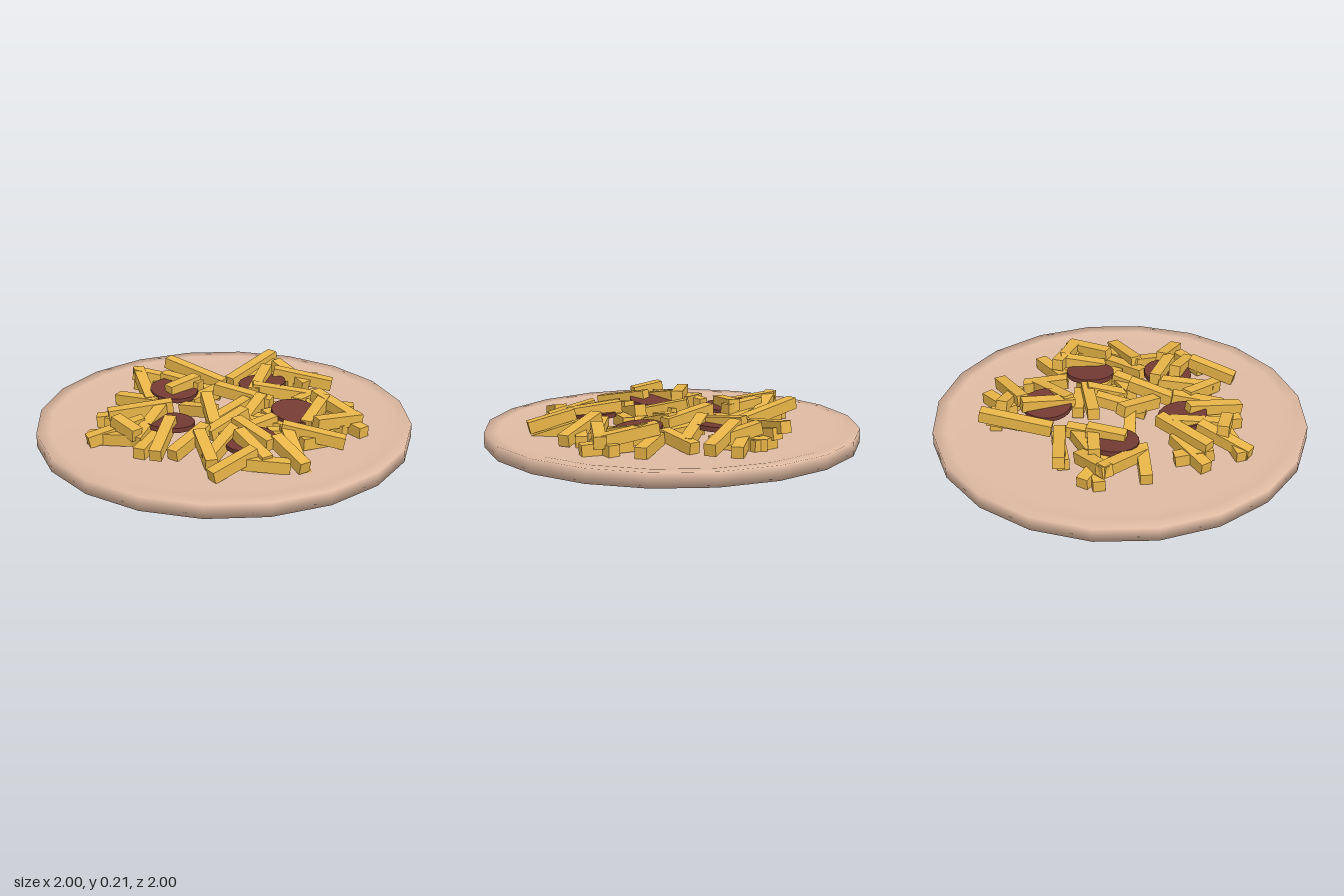
import * as THREE from 'three';

const plateMat = new THREE.MeshStandardMaterial({ color: 0xdfbaa2 });
const fryMat = new THREE.MeshStandardMaterial({ color: 0xe8b548, flatShading: true });
const sliceMat = new THREE.MeshStandardMaterial({ color: 0x743b33 });

const THICK = 0.062;

// A square stick laid from a raised end to a lower end
function makeFry([x1, z1, x2, z2, y1, y2 = Math.max(0.1, y1 - 0.06)]) {
  const a = new THREE.Vector3(x1, y1, z1);
  const b = new THREE.Vector3(x2, y2, z2);
  const fry = new THREE.Mesh(new THREE.BoxGeometry(THICK, THICK, a.distanceTo(b)), fryMat);
  fry.name = 'fry';
  fry.position.copy(a).lerp(b, 0.5);
  fry.lookAt(b);
  return fry;
}

// A heap of fries, with an optional round slice [x, y, z, tiltX, tiltZ]
function makeCluster(name, slice, fries) {
  const cluster = new THREE.Group();
  cluster.name = name;
  for (const f of fries) cluster.add(makeFry(f));
  if (slice) {
    const disc = new THREE.Mesh(new THREE.CylinderGeometry(0.132, 0.132, 0.025, 20), sliceMat);
    disc.name = 'roundSlice';
    disc.position.set(slice[0], slice[1], slice[2]);
    disc.rotation.set(slice[3], 0, slice[4]);
    cluster.add(disc);
  }
  return cluster;
}

export function createModel() {
  const model = new THREE.Group();
  model.name = 'plateOfFries';

  // Shallow twenty-sided plate with a low rim
  const profile = [[0, 0.015], [1, 0.015], [1, 0.09], [0.93, 0.088], [0.85, 0.074], [0, 0.068]]
    .map(([r, y]) => new THREE.Vector2(r, y));
  const plate = new THREE.Mesh(new THREE.LatheGeometry(profile, 20), plateMat);
  plate.name = 'plate';
  model.add(plate);

  model.add(makeCluster('backLeftCluster', [-0.22, 0.15, -0.28, 0.08, -0.05], [
    [-0.19, -0.64, 0.08, -0.37, 0.185],
    [-0.41, -0.52, -0.15, -0.46, 0.18],
    [-0.38, -0.54, -0.36, -0.22, 0.18],
    [-0.33, -0.19, -0.52, -0.36, 0.12],
    [-0.39, -0.56, -0.2, -0.42, 0.1],
    [-0.25, -0.35, -0.31, -0.6, 0.12],
    [-0.08, -0.33, -0.26, -0.23, 0.185, 0.17],
    [-0.25, -0.45, -0.07, -0.28, 0.17, 0.16],
    [-0.18, -0.4, 0.05, -0.3, 0.12],
    [0.07, -0.33, -0.14, -0.2, 0.12],
    [-0.14, -0.56, 0.08, -0.39, 0.11],
  ]));

  model.add(makeCluster('backRightCluster', [0.28, 0.15, -0.27, -0.06, 0.06], [
    [0.43, -0.61, 0.12, -0.39, 0.185],
    [0.42, -0.57, 0.24, -0.4, 0.15],
    [0.41, -0.48, 0.53, -0.25, 0.18],
    [0.37, -0.36, 0.68, -0.25, 0.18, 0.12],
    [0.34, -0.4, 0.2, -0.15, 0.185, 0.15],
    [0.2, -0.18, 0.52, -0.12, 0.17],
    [0.4, -0.41, 0.64, -0.38, 0.12],
    [0.4, 0, 0.57, -0.17, 0.13],
    [0.38, -0.55, 0.49, -0.44, 0.1],
    [0.47, -0.3, 0.45, -0.52, 0.11],
  ]));

  model.add(makeCluster('rightCluster', [0.36, 0.14, 0.14, 0.1, -0.08], [
    [0.5, 0.02, 0.64, 0.3, 0.185, 0.14],
    [0.41, 0.34, 0.67, 0.28, 0.16, 0.14],
    [0.45, 0.02, 0.7, 0.08, 0.12],
    [0.55, 0.14, 0.66, 0.38, 0.11],
    [0.54, 0.08, 0.38, 0.27, 0.18],
    [0.33, 0.02, 0.25, 0.24, 0.12],
    [0.67, 0.21, 0.53, 0.33, 0.1],
    [0.22, 0.05, 0.3, 0.3, 0.11],
    [0.15, 0.35, 0.42, 0.35, 0.13],
    [0.27, 0.1, 0.48, 0.2, 0.11],
  ]));

  model.add(makeCluster('frontCluster', [0.04, 0.14, 0.43, 0.05, 0.08], [
    [0.24, 0.36, 0.25, 0.73, 0.16, 0.034],
    [0.15, 0.5, 0.24, 0.73, 0.17],
    [0, 0.28, 0.12, 0.54, 0.185, 0.16],
    [-0.02, 0.42, 0.07, 0.65, 0.185],
    [0, 0.3, -0.2, 0.53, 0.16],
    [0.02, 0.6, -0.22, 0.7, 0.16],
    [-0.2, 0.31, -0.19, 0.58, 0.15],
    [-0.05, 0.62, 0.18, 0.68, 0.12],
    [0.22, 0.37, 0.52, 0.49, 0.17],
    [0.3, 0.45, 0.5, 0.4, 0.11],
  ]));

  model.add(makeCluster('leftCluster', [-0.32, 0.15, 0.14, -0.07, -0.08], [
    [-0.28, 0, -0.62, 0, 0.185, 0.16],
    [-0.34, 0.02, -0.52, 0.28, 0.18],
    [-0.45, 0.12, -0.75, 0.17, 0.16],
    [-0.51, 0.24, -0.74, 0.12, 0.12],
    [-0.6, 0.13, -0.51, 0.28, 0.185, 0.16],
    [-0.62, 0.03, -0.5, -0.13, 0.12],
    [-0.4, -0.02, -0.67, -0.08, 0.13],
    [-0.32, 0.18, -0.45, 0.46, 0.18],
    [-0.15, 0.25, -0.36, 0.43, 0.15],
    [-0.4, 0.2, -0.52, 0.38, 0.11],
  ]));

  model.add(makeCluster('centreCluster', null, [
    [0, -0.2, 0.26, 0.01, 0.18, 0.15],
    [0.22, -0.03, 0.08, 0.13, 0.17],
    [0.14, -0.04, -0.1, 0.1, 0.15],
    [-0.08, -0.08, -0.09, 0.19, 0.185],
    [-0.05, 0.03, -0.2, -0.14, 0.14],
    [0.08, 0.16, -0.14, 0.27, 0.18],
    [0.23, 0.2, -0.08, 0.3, 0.14],
    [0.05, 0.15, 0.3, 0.24, 0.12],
    [0, 0.03, 0.2, 0.13, 0.11],
    [0.15, -0.17, 0.3, 0, 0.11],
  ]));

  return model;
}
